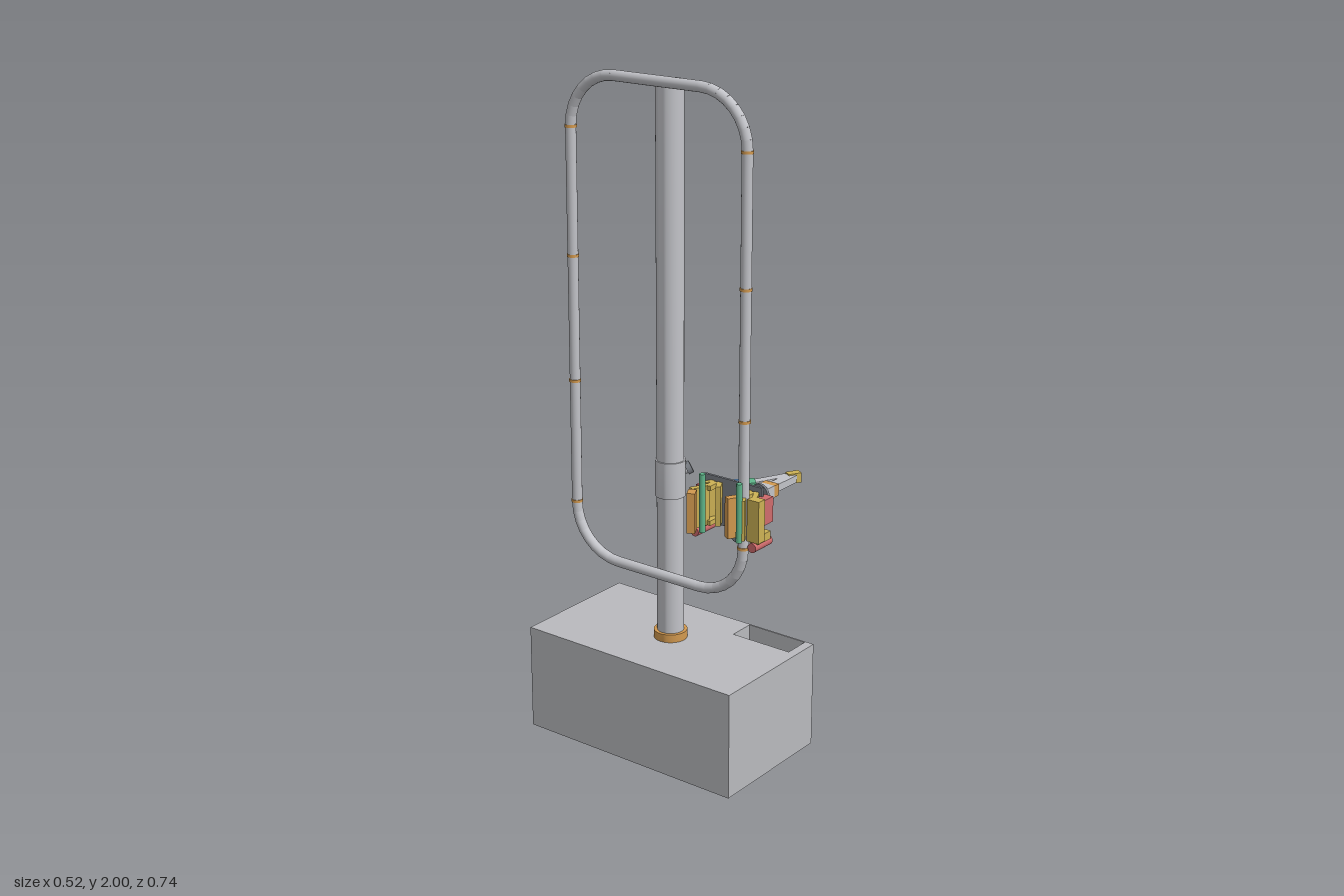
import * as THREE from 'three';
import { toCreasedNormals } from 'three/addons/utils/BufferGeometryUtils.js';

const mat = (name, color) => {
  const m = new THREE.MeshStandardMaterial({ color });
  m.name = name;
  return m;
};

export function createModel() {
  const root = new THREE.Group();
  root.name = 'pipeClimbingRobotStand';
  const M = {
    base: mat('baseGrey', 0xb9babe), pipe: mat('pipeGrey', 0xc2c3c8), dark: mat('darkGrey', 0x7c8087),
    yellow: mat('yellow', 0xcdb255), orange: mat('orange', 0xd2994f), red: mat('red', 0xcf6b6c),
    blue: mat('blue', 0x5f95cd), green: mat('green', 0x5fb68b),
  };
  const V = (x, y, z) => new THREE.Vector3(x, y, z);

  const add = (name, geo, m, parent = root) => {
    const mesh = new THREE.Mesh(geo, m);
    mesh.name = name;
    parent.add(mesh);
    return mesh;
  };
  const group = (name, parent = root) => {
    const g = new THREE.Group();
    g.name = name;
    parent.add(g);
    return g;
  };
  // Box by size and centre, turned about the vertical
  const box = (name, m, [w, h, d], [x, y, z], parent = root, turn = 0) => {
    const b = add(name, new THREE.BoxGeometry(w, h, d), m, parent);
    b.position.set(x, y, z);
    b.rotation.y = turn;
    return b;
  };
  // Round rod between two points
  const rod = (name, m, r, a, b, parent = root, sides = 24) => {
    const c = add(name, new THREE.CylinderGeometry(r, r, a.distanceTo(b), sides), m, parent);
    c.position.copy(a).lerp(b, 0.5);
    c.quaternion.setFromUnitVectors(V(0, 1, 0), b.clone().sub(a).normalize());
    return c;
  };
  // Square bar between two plan points (x, z)
  const bar = (name, m, [x0, z0], [x1, z1], w, h, y, parent) =>
    box(name, m, [Math.hypot(x1 - x0, z1 - z0), h, w], [(x0 + x1) / 2, y, (z0 + z1) / 2], parent,
      Math.atan2(z0 - z1, x1 - x0));
  const lathe = (name, m, pts, parent) => {
    const g = new THREE.LatheGeometry(pts.map(([r, y]) => new THREE.Vector2(r, y)), 32);
    return add(name, toCreasedNormals(g, 0.6), m, parent);
  };

  // Base block with a rectangular well near the front corner
  const base = group('base');
  const floor = 0.21, top = 0.325;
  const outline = new THREE.Shape([[-0.26, -0.37], [0.16, -0.37], [0.16, 0.37], [-0.26, 0.37]]
    .map(([x, y]) => new THREE.Vector2(x, y)));
  outline.holes.push(new THREE.Path([[0.072, -0.342], [0.072, -0.142], [0.155, -0.142], [0.155, -0.342]]
    .map(([x, y]) => new THREE.Vector2(x, y))));
  const upper = new THREE.ExtrudeGeometry(outline, { depth: top - floor, bevelEnabled: false });
  upper.rotateX(-Math.PI / 2).translate(0, floor, 0);
  add('baseTop', upper, M.base, base);
  box('baseBottom', M.base, [0.42, floor, 0.74], [-0.05, floor / 2, 0], base);
  box('wellFloor', M.green, [0.083, 0.008, 0.2], [0.1135, floor + 0.004, 0.242], base);
  for (const z of [0.177, 0.303])
    rod('wellPlug', M.orange, 0.017, V(0.113, floor, z), V(0.113, floor + 0.05, z), base);

  // Upright pole with hollow top, foot ring, sleeve and stub
  const pole = group('pole');
  pole.position.x = -0.05;
  lathe('poleTube', M.pipe, [[0.04, 0.325], [0.04, 1.98], [0.033, 1.98], [0.033, 1.965],
    [0.017, 1.965], [0.017, 1.975], [0.014, 1.975], [0.014, 1.95], [0, 1.95]], pole);
  lathe('footRing', M.orange, [[0.05, 0.325], [0.05, 0.35], [0.04, 0.35]], pole);
  lathe('sleeve', M.pipe, [[0.04, 0.775], [0.0445, 0.775], [0.0445, 0.885], [0.04, 0.885]], pole);
  rod('stub', M.pipe, 0.014, V(0.015, 0.85, 0.015), V(0.034, 0.853, 0.034), pole);
  rod('stubCap', M.dark, 0.019, V(0.033, 0.853, 0.033), V(0.043, 0.86, 0.043), pole);
  box('topBracket', M.dark, [0.03, 0.015, 0.014], [-0.04, 1.982, 0], pole);

  // Closed pipe loop: straight runs, segmented bends, orange joints
  const loop = group('pipeLoop');
  const px = -0.11, pr = 0.0155, half = 0.305, R = 0.155, yLow = 0.546, yHigh = 1.984;
  const zi = half - R;
  for (const s of [-1, 1]) {
    rod('uprightPipe', M.pipe, pr, V(px, yLow + R, s * half), V(px, yHigh - R, s * half), loop);
    for (const y of [0.705, 1.08, 1.455, 1.828])
      rod('pipeJoint', M.orange, 0.0175, V(px, y - 0.004, s * half), V(px, y + 0.004, s * half), loop);
    for (const [yc, t] of [[yLow + R, -1], [yHigh - R, 1]]) {
      const at = k => V(px, yc + t * R * Math.cos(k * Math.PI / 16), s * (zi + R * Math.sin(k * Math.PI / 16)));
      for (let k = 0; k < 8; k++) {
        const a = at(k), b = at(k + 1), over = b.clone().sub(a).multiplyScalar(0.04);
        rod('bendSegment', M.pipe, pr, a.sub(over), b.add(over), loop);
      }
    }
  }
  for (const y of [yLow, yHigh]) rod('crossPipe', M.pipe, pr, V(px, y, -zi), V(px, y, zi), loop);

  // Robot carriage: back plate, drive motors and central housing
  const robot = group('robot');
  box('backPlate', M.dark, [0.008, 0.145, 0.205], [-0.057, 0.802, 0.23], robot);
  box('housing', M.blue, [0.054, 0.07, 0.07], [-0.026, 0.8, 0.24], robot);
  rod('lowerMotor', M.dark, 0.02, V(-0.055, 0.707, 0.24), V(0.004, 0.707, 0.24), robot);
  rod('lowerMotorCap', M.orange, 0.02, V(0.004, 0.707, 0.24), V(0.009, 0.707, 0.24), robot);
  box('lowerMotorMount', M.dark, [0.012, 0.03, 0.03], [-0.057, 0.722, 0.24], robot);
  for (const z of [0.141, 0.341]) {
    rod('driveMotor', M.red, 0.014, V(-0.12, 0.716, z), V(-0.038, 0.716, z), robot);
    box('sideMotor', M.red, [0.055, 0.075, 0.029], [-0.066, 0.812, z], robot);
    box('motorFoot', M.yellow, [0.06, 0.024, 0.03], [-0.08, 0.738, z], robot);
  }

  // Clamps: the front one grips the pipe, the other stands open
  const clamp = (name, z) => {
    const g = group(name, robot);
    for (const s of [-1, 1]) {
      box('innerJaw', M.yellow, [0.042, 0.12, 0.015], [-0.077, 0.8, z + s * 0.02], g, s * 0.5);
      box('jawRail', M.yellow, [0.04, 0.014, 0.02], [-0.085, 0.8 + s * 0.053, z], g);
    }
    rod('hingePin', M.green, 0.009, V(-0.145, 0.735, z + 0.012), V(-0.145, 0.91, z + 0.012), g, 12);
    return g;
  };
  const grip = clamp('closedClamp', 0.303);
  box('outerJaw', M.orange, [0.034, 0.12, 0.022], [-0.138, 0.802, 0.285], grip, -0.5);
  box('jawArm', M.yellow, [0.026, 0.12, 0.015], [-0.132, 0.8, 0.318], grip, 0.5);
  box('endBlock', M.yellow, [0.03, 0.125, 0.04], [-0.11, 0.798, 0.347], grip);
  const open = clamp('openClamp', 0.175);
  box('outerJaw', M.orange, [0.036, 0.12, 0.024], [-0.173, 0.802, 0.171], open, 0.5);
  box('jawArm', M.yellow, [0.035, 0.12, 0.018], [-0.133, 0.8, 0.158], open, -0.5);
  box('jawBack', M.yellow, [0.03, 0.12, 0.018], [-0.108, 0.8, 0.165], open);

  // Folding arm: shoulder, two links, wrist and two-finger hand
  const arm = group('arm', robot);
  const y = 0.8, along = (x) => V(x, y, 0.24);
  rod('shoulderBearing', M.dark, 0.022, along(0), along(0.007), arm);
  rod('shoulderHub', M.dark, 0.016, along(0.007), along(0.018), arm);
  rod('shoulderShaft', M.red, 0.0125, along(0.017), along(0.056), arm);
  rod('shoulderDisc', M.dark, 0.031, along(0.055), along(0.064), arm);
  box('shoulderBlock', M.pipe, [0.035, 0.038, 0.05], [0.08, y, 0.24], arm);
  box('shoulderJoint', M.orange, [0.024, 0.036, 0.047], [0.109, y, 0.24], arm);
  bar('upperLink', M.pipe, [0.12, 0.24], [0.225, 0.24], 0.03, 0.022, y, arm);
  bar('elbow', M.yellow, [0.213, 0.229], [0.249, 0.249], 0.025, 0.03, y, arm);
  bar('foreLink', M.pipe, [0.22, 0.231], [0.105, 0.177], 0.026, 0.02, y, arm);
  bar('wrist', M.green, [0.086, 0.194], [0.117, 0.165], 0.024, 0.028, y, arm);
  bar('hand', M.blue, [0.052, 0.13], [0.08, 0.158], 0.04, 0.026, y, arm);
  bar('finger', M.pipe, [0.05, 0.14], [0.014, 0.103], 0.012, 0.01, y, arm);
  bar('finger', M.pipe, [0.07, 0.135], [0.076, 0.082], 0.012, 0.01, y, arm);

  // Lathe profiles may run inward, so show both sides of the pipe and sleeve surfaces
  for (const m of [M.pipe, M.orange]) m.side = THREE.DoubleSide;
  return root;
}
